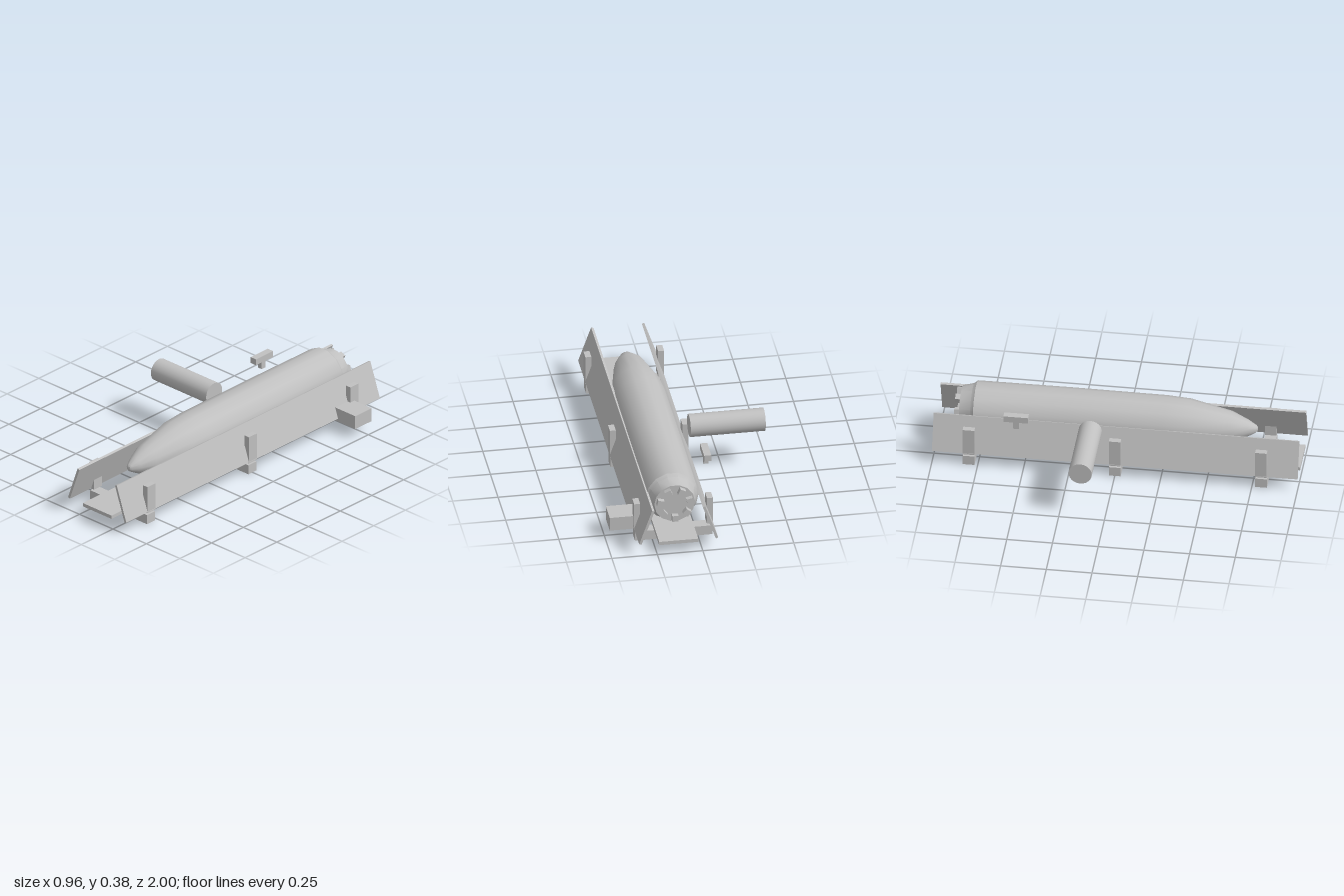
import * as THREE from 'three';
import { toCreasedNormals } from 'three/addons/utils/BufferGeometryUtils.js';

export function createModel() {
  const model = new THREE.Group();
  const grey = new THREE.MeshStandardMaterial({ color: 0xc0c0c0 });
  grey.name = 'plain grey';
  const CX = 0.1325, CY = 0.235; // long axis of the hull

  function add(name, geometry, x, y, z, parent = model) {
    const mesh = new THREE.Mesh(geometry, grey);
    mesh.name = name;
    mesh.position.set(x, y, z);
    parent.add(mesh);
    return mesh;
  }
  // Box given by its extents on each axis
  function box(name, x0, x1, y0, y1, z0, z1) {
    return add(name, new THREE.BoxGeometry(x1 - x0, y1 - y0, z1 - z0),
      (x0 + x1) / 2, (y0 + y1) / 2, (z0 + z1) / 2);
  }

  // Hull: fourteen-sided lathe, profile as [radius, z] from tail to nose
  const profile = [
    [0, -0.867], [0.112, -0.867], [0.13, -0.805], [0.145, -0.787], [0.147, -0.28],
    [0.145, 0.25], [0.137, 0.38], [0.087, 0.61], [0.047, 0.7], [0.021, 0.745], [0.012, 0.753], [0, 0.756],
  ].map(([r, z]) => new THREE.Vector2(r, z));
  const hull = new THREE.LatheGeometry(profile, 14, Math.PI / 14).rotateX(Math.PI / 2);
  add('hull', toCreasedNormals(hull, 0.5), CX, CY, 0);

  // Ring of seven small nozzles on the tail
  const nozzles = new THREE.Group();
  nozzles.name = 'nozzles';
  nozzles.position.set(CX, CY, -0.867);
  model.add(nozzles);
  for (let i = 0; i < 7; i++) {
    const a = -Math.PI / 2 + (i * 2 * Math.PI) / 7;
    const nozzle = add('nozzle', new THREE.BoxGeometry(0.035, 0.034, 0.034),
      Math.cos(a) * 0.083, Math.sin(a) * 0.083, -0.011, nozzles);
    nozzle.rotation.z = a;
  }

  // Leaning side panels and the floor plate between them
  for (const side of [-1, 1]) {
    const panel = add('sidePanel', new THREE.BoxGeometry(0.014, 0.214, 2), CX + side * 0.175, 0.173, 0);
    panel.rotation.z = side * 0.34;
  }
  box('floorPlate', 0.025, 0.24, 0.058, 0.078, -1, 1);

  // Cross beams with an upright bracket at each end
  for (const z of [-0.8, 0, 0.8]) {
    box('crossBeam', -0.08, 0.345, 0, 0.055, z - 0.032, z + 0.032);
    for (const side of [-1, 1]) {
      const x = CX + side * 0.2;
      box('upright', x - 0.0165, x + 0.0165, 0.068, 0.228, z - 0.032, z + 0.032);
    }
  }

  // Equipment box on the left, tank on the right
  box('equipmentBox', 0.328, 0.478, 0.057, 0.136, -0.8, -0.67);
  const tank = new THREE.CylinderGeometry(0.0635, 0.0635, 0.412, 24).rotateZ(Math.PI / 2);
  add('tank', tank, -0.275, 0.281, -0.135);

  // Small bar on a short stem
  box('sightBar', -0.113, -0.074, 0.325, 0.361, -0.605, -0.47);
  box('sightStem', -0.107, -0.08, 0.28, 0.325, -0.553, -0.521);

  return model;
}
